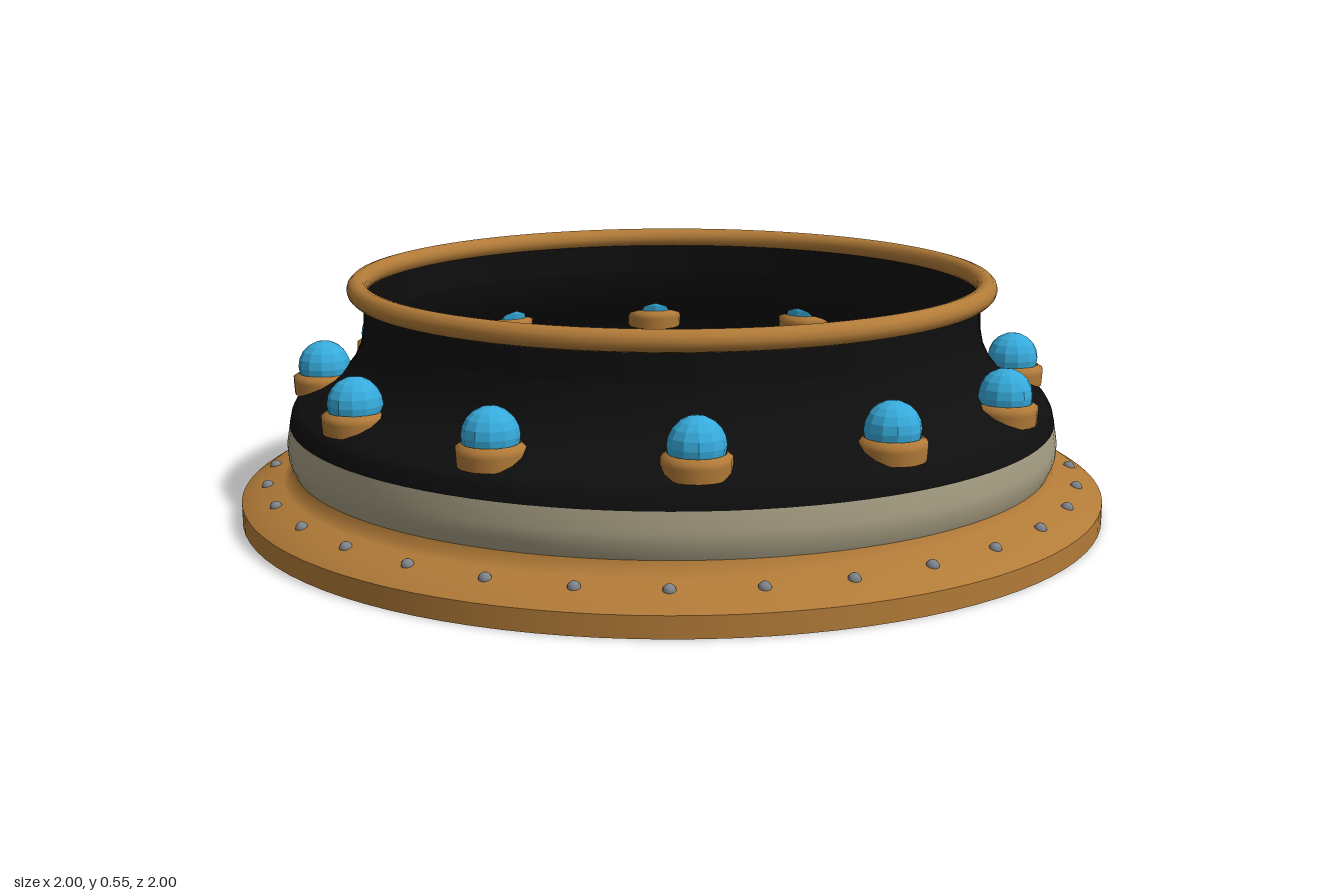
import * as THREE from 'three';

const material = (name, color, extra = {}) => {
  const m = new THREE.MeshStandardMaterial({ color, ...extra });
  m.name = name;
  return m;
};

export function createModel() {
  const group = new THREE.Group();
  const bronze = material('bronze', 0xb27b38, { side: THREE.DoubleSide });
  const black = material('black', 0x0e0e0e, { side: THREE.DoubleSide });
  const cream = material('cream', 0xa59d82, { side: THREE.DoubleSide });
  const blue = material('lampBlue', 0x36abdc, { flatShading: true });
  const steel = material('steel', 0x7f848a);

  const add = (name, geometry, mat, parent = group) => {
    const mesh = new THREE.Mesh(geometry, mat);
    mesh.name = name;
    parent.add(mesh);
    return mesh;
  };
  const lathe = (points, segments = 96) =>
    new THREE.LatheGeometry(points.map(([r, y]) => new THREE.Vector2(r, y)), segments);

  // Open, thin-walled shell, from the floor upwards
  add('flangeEdge', lathe([[1, 0], [1, 0.047]]), bronze);
  add('flangeTop', lathe([[1, 0.047], [0.96, 0.073], [0.905, 0.088], [0.888, 0.098], [0.88, 0.118]]), bronze);
  add('creamBand', lathe([[0.88, 0.118], [0.891, 0.145], [0.893, 0.175], [0.886, 0.218]]), cream);
  add('blackShoulder', lathe([[0.886, 0.218], [0.88, 0.245], [0.868, 0.266], [0.81, 0.292],
    [0.765, 0.318], [0.738, 0.352], [0.72, 0.39], [0.712, 0.43]]), black);
  add('blackCollar', lathe([[0.712, 0.43], [0.71, 0.52]]), black);

  // Rounded top rim
  const rim = add('topRim', new THREE.TorusGeometry(0.724, 0.024, 12, 96), bronze);
  rim.rotation.x = Math.PI / 2;
  rim.position.y = 0.521;

  // Twelve domed lamps in open bronze sockets
  const socketGeometry = lathe([[0.07, -0.04], [0.072, -0.012], [0.072, 0], [0.06, 0.008]], 16);
  const domeGeometry = new THREE.SphereGeometry(0.06, 12, 10);
  for (let i = 0; i < 12; i++) {
    const a = (i + 0.5) * Math.PI / 6;
    const lamp = new THREE.Group();
    lamp.name = 'lamp';
    lamp.position.set(Math.sin(a) * 0.808, 0.308, Math.cos(a) * 0.808);
    lamp.rotation.y = a;
    add('lampSocket', socketGeometry, bronze, lamp);
    add('lampDome', domeGeometry, blue, lamp).position.y = 0.022;
    group.add(lamp);
  }

  // Rivets around the flange
  const rivetGeometry = new THREE.SphereGeometry(0.014, 10, 8);
  for (let i = 0; i < 32; i++) {
    const a = i * Math.PI / 16;
    add('rivet', rivetGeometry, steel).position.set(Math.sin(a) * 0.94, 0.077, Math.cos(a) * 0.94);
  }
  return group;
}
